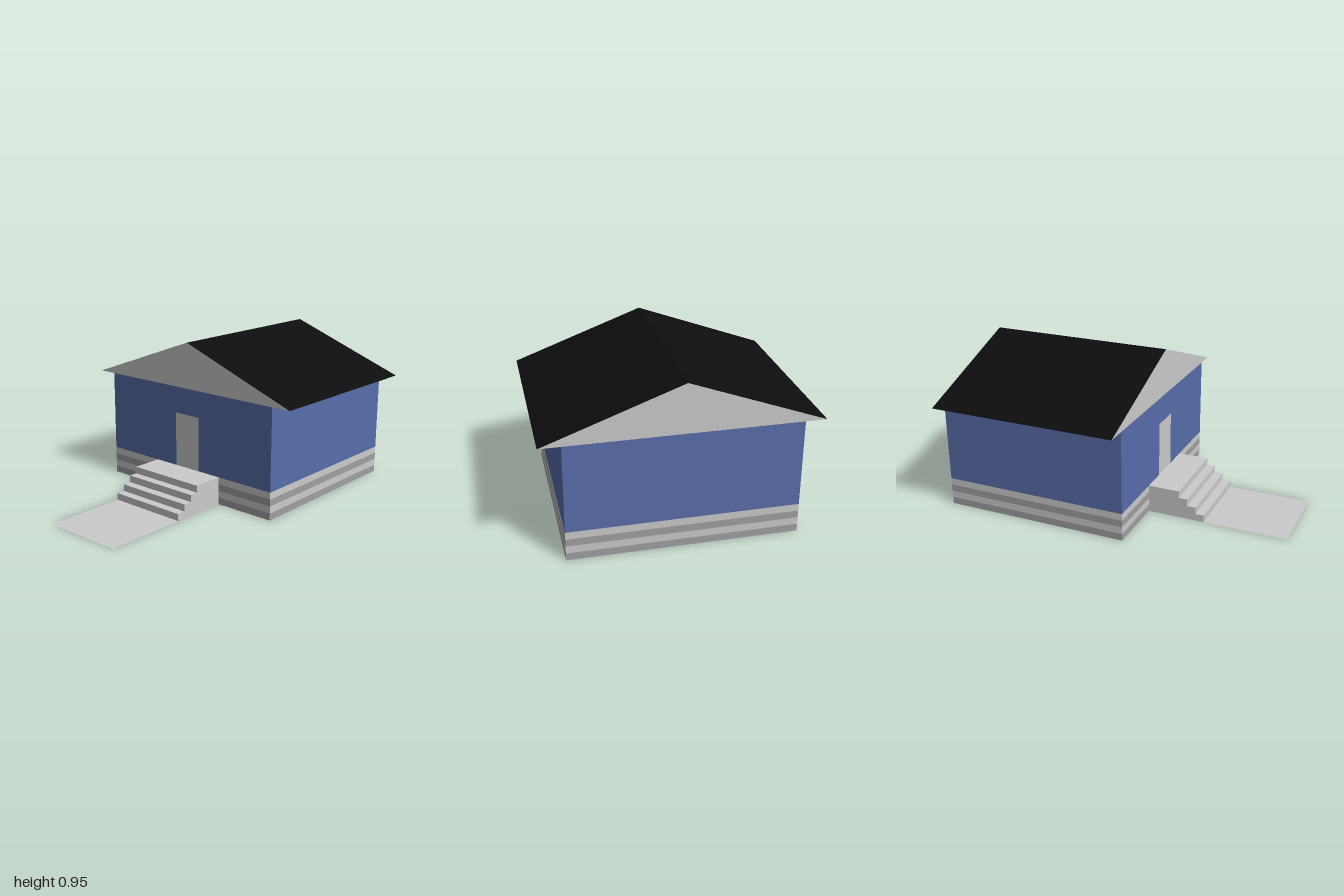
import * as THREE from 'three';

const FRONT = 0.143, BACK = -1, DEPTH = FRONT - BACK;
const HALF_W = 0.637, EAVE = 0.756, STEP_W = 0.252, DOOR_W = 0.092;
const BASE_TOP = 0.17, WALL_TOP = 0.67, RIDGE = 0.95, DOOR_TOP = 0.507;

const paint = (color) =>
  new THREE.MeshStandardMaterial({ color, side: THREE.DoubleSide, flatShading: true });

// Sweeps an open polyline of [x, y, z] points along one offset, one flat quad per segment
function strip(points, offset) {
  const pos = [];
  const shift = (p) => p.map((v, i) => v + offset[i]);
  for (let i = 0; i + 1 < points.length; i++) {
    const a = points[i], b = points[i + 1], c = shift(b), d = shift(a);
    pos.push(...a, ...b, ...c, ...a, ...c, ...d);
  }
  const geo = new THREE.BufferGeometry();
  geo.setAttribute('position', new THREE.Float32BufferAttribute(pos, 3));
  geo.computeVertexNormals();
  return geo;
}

// Flat outline in the XY plane
function panel(points) {
  return new THREE.ShapeGeometry(new THREE.Shape(points.map(([x, y]) => new THREE.Vector2(x, y))));
}

// Runs around the house, leaving an opening of the given half width in the front
function aroundHouse(gap, y) {
  return [
    [gap, y, FRONT], [HALF_W, y, FRONT], [HALF_W, y, BACK],
    [-HALF_W, y, BACK], [-HALF_W, y, FRONT], [-gap, y, FRONT],
  ];
}

export function createModel() {
  const house = new THREE.Group();
  house.name = 'house';
  const grey = paint(0xcccccc), darkGrey = paint(0xa0a0a0), stone = paint(0xbdbdbd);
  const blue = paint(0x586eab), black = paint(0x0d0d0d);

  const add = (name, geo, mat, parent = house) => {
    const mesh = new THREE.Mesh(geo, mat);
    mesh.name = name;
    parent.add(mesh);
    return mesh;
  };

  // Striped foundation, open behind the stairs
  const foundation = new THREE.Group();
  foundation.name = 'foundation';
  house.add(foundation);
  const band = BASE_TOP / 4;
  for (let i = 0; i < 4; i++) {
    add('foundationBand', strip(aroundHouse(STEP_W, i * band), [0, band, 0]),
      i % 2 ? grey : darkGrey, foundation);
  }

  // Walls with a doorway, lintel and door
  add('walls', strip(aroundHouse(DOOR_W, BASE_TOP), [0, WALL_TOP - BASE_TOP, 0]), blue);
  const acrossDoor = (y) => [[-DOOR_W, y, FRONT], [DOOR_W, y, FRONT]];
  add('lintel', strip(acrossDoor(DOOR_TOP), [0, WALL_TOP - DOOR_TOP, 0]), blue);
  add('door', strip(acrossDoor(BASE_TOP), [0, DOOR_TOP - BASE_TOP, 0]), grey);

  // Roof slopes, gables and the soffits under the eaves
  add('roof', strip([[EAVE, WALL_TOP, BACK], [0, RIDGE, BACK], [-EAVE, WALL_TOP, BACK]],
    [0, 0, DEPTH]), black);
  const gable = panel([[-EAVE, WALL_TOP], [EAVE, WALL_TOP], [0, RIDGE]]);
  add('frontGable', gable, grey).position.z = FRONT;
  const backGable = add('backGable', gable, grey);
  backGable.position.z = BACK;
  backGable.rotation.y = Math.PI;
  for (const x of [-EAVE, HALF_W]) {
    add('soffit', strip([[x, WALL_TOP, BACK], [x + EAVE - HALF_W, WALL_TOP, BACK]],
      [0, 0, DEPTH]), grey);
  }

  // Hollow stairs: landing and steps from one profile of [z, y]
  const stairs = new THREE.Group();
  stairs.name = 'stairs';
  house.add(stairs);
  const profile = [[FRONT, BASE_TOP]];
  [0.335, 0.388, 0.442, 0.495].forEach((z, i) => {
    profile.push([z, BASE_TOP - i * band], [z, BASE_TOP - (i + 1) * band]);
  });
  add('steps', strip(profile.map(([z, y]) => [-STEP_W, y, z]), [2 * STEP_W, 0, 0]), stone, stairs);
  const side = panel([...profile, [FRONT, 0]]).rotateY(-Math.PI / 2);
  for (const s of [-1, 1]) {
    add('stairSide', side, stone, stairs).position.x = s * STEP_W;
  }

  // Flat path running from the house front
  add('path', strip([[-STEP_W, 0, FRONT], [-STEP_W, 0, 1]], [2 * STEP_W, 0, 0]), stone);

  return house;
}
